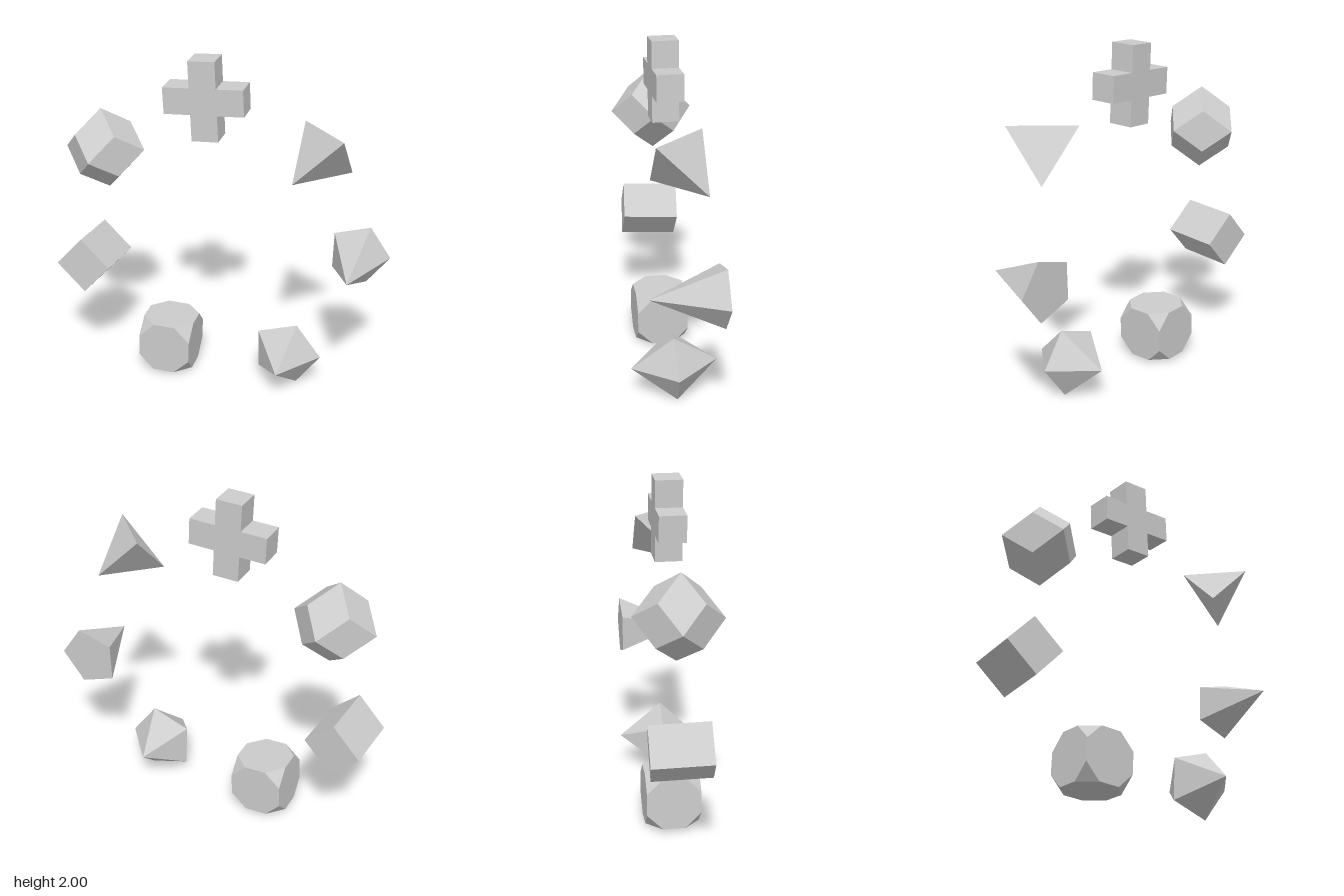
import * as THREE from 'three';
import { ConvexGeometry } from 'three/addons/geometries/ConvexGeometry.js';

const material = new THREE.MeshStandardMaterial({ color: 0xcccccc, flatShading: true });
const SIGNS = [-1, 1];
const vec = (x, y, z) => new THREE.Vector3(x, y, z);

// regular pentagon in the xy plane with one corner on +x
function pentagon(radius, z) {
  const points = [];
  for (let i = 0; i < 5; i++) {
    const a = (i * Math.PI * 2) / 5;
    points.push(vec(radius * Math.cos(a), radius * Math.sin(a), z));
  }
  return points;
}

// eight corners of a cube
function cubeCorners(h) {
  const points = [];
  for (const x of SIGNS) for (const y of SIGNS) for (const z of SIGNS) points.push(vec(x * h, y * h, z * h));
  return points;
}

function pentagonalPyramid(radius, back, front) {
  return new ConvexGeometry([...pentagon(radius, back), vec(0, 0, front)]);
}

function pentagonalBipyramid(radius, h) {
  return new ConvexGeometry([...pentagon(radius, 0), vec(0, 0, h), vec(0, 0, -h)]);
}

// cube corners plus a peak over each cube face
function rhombicDodecahedron(r) {
  const points = cubeCorners(r / 2);
  for (const s of SIGNS) points.push(vec(s * r, 0, 0), vec(0, s * r, 0), vec(0, 0, s * r));
  return new ConvexGeometry(points);
}

// every cube corner is replaced by three points on its edges
function truncatedCube(h) {
  const k = Math.SQRT2 - 1;
  const points = [];
  for (const p of cubeCorners(h)) {
    points.push(vec(p.x * k, p.y, p.z), vec(p.x, p.y * k, p.z), vec(p.x, p.y, p.z * k));
  }
  return new ConvexGeometry(points);
}

// plus-shaped outline, extruded one arm width deep
function cross(width) {
  const a = width / 2, b = width * 1.5;
  const quarter = [[b, -a], [b, a], [a, a]];
  const outline = [];
  for (let i = 0; i < 4; i++) {
    for (const [x, y] of quarter) {
      outline.push(new THREE.Vector2(x, y).rotateAround(new THREE.Vector2(), (i * Math.PI) / 2));
    }
  }
  const geometry = new THREE.ExtrudeGeometry(new THREE.Shape(outline), { depth: width, bevelEnabled: false });
  return geometry.translate(0, 0, -a);
}

export function createModel() {
  const group = new THREE.Group();
  const add = (name, geometry, position, rotation) => {
    const mesh = new THREE.Mesh(geometry, material);
    mesh.name = name;
    mesh.position.set(...position);
    mesh.rotation.set(...rotation);
    group.add(mesh);
  };

  // solids arranged in a ring, each slightly tilted
  add('cross', cross(0.155), [-0.077, 1.766, 0], [0, 0.045, 0.045]);
  add('tetrahedron', new THREE.TetrahedronGeometry(0.14 * Math.sqrt(3)), [0.602, 1.505, 0], [0, 0, 0]);
  add('pentagonalPyramid', pentagonalPyramid(0.187, -0.22, 0.19), [0.797, 0.824, 0], [0, 0.036, -0.03]);
  add('pentagonalBipyramid', pentagonalBipyramid(0.211, 0.25), [0.419, 0.206, 0], [0.055, 0.015, 0]);
  add('truncatedCube', truncatedCube(0.157), [-0.316, 0.182, -0.002], [0, 0.045, -0.035]);
  add('squarePrism', new THREE.BoxGeometry(0.24, 0.24, 0.34), [-0.805, 0.676, 0.005], [-0.045, -0.035, Math.PI / 4 + 0.045]);
  add('rhombicDodecahedron', rhombicDodecahedron(0.247), [-0.705, 1.395, 0], [0.04, -0.01, 0.065]);
  return group;
}
